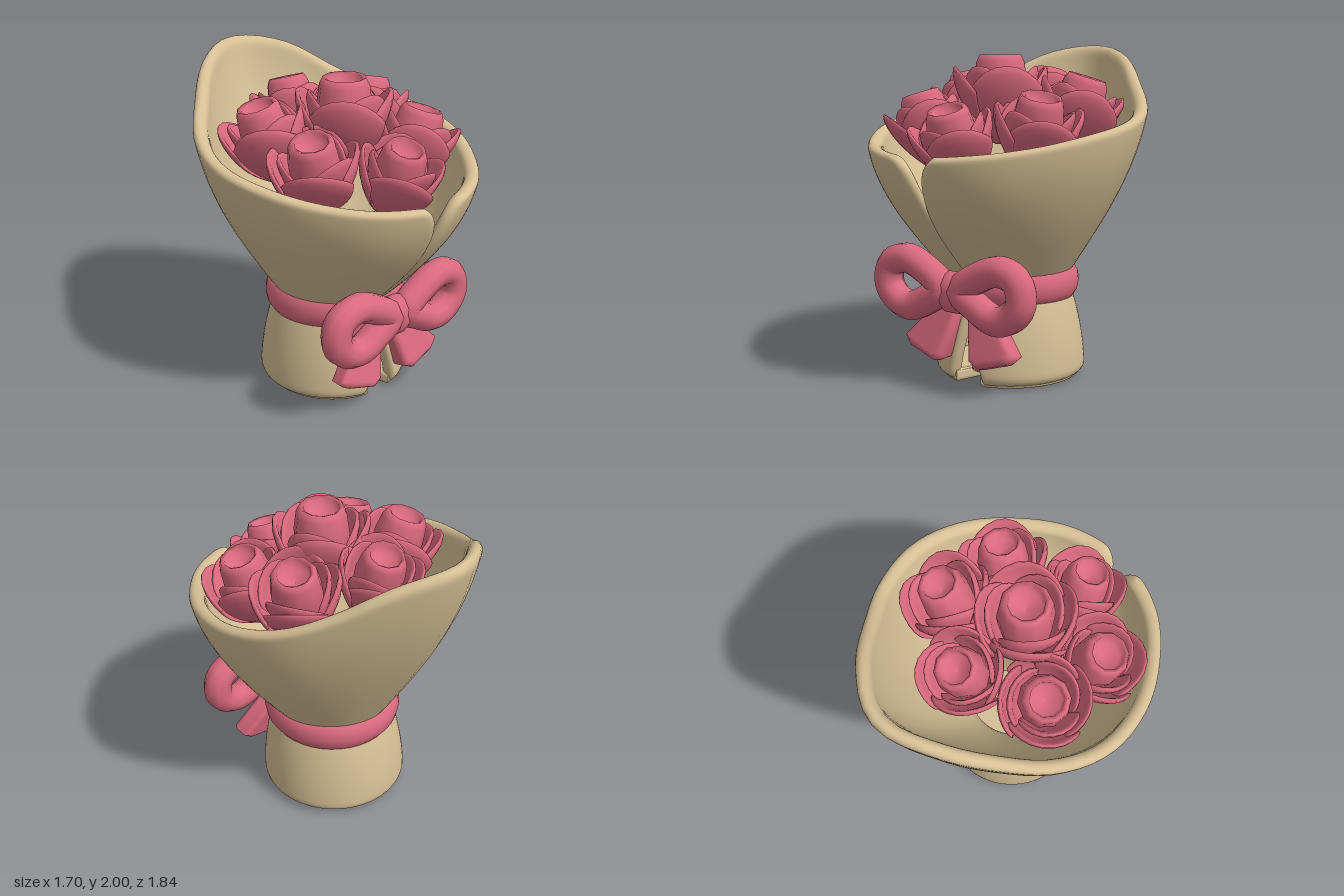
import * as THREE from 'three';
import { mergeVertices } from 'three/addons/utils/BufferGeometryUtils.js';

const paper = new THREE.MeshStandardMaterial({ color: 0xd6bf95 });
paper.name = 'tanPaper';
const pink = new THREE.MeshStandardMaterial({ color: 0xdb6a7f });
pink.name = 'rosePink';

function add(parent, name, geometry, material) {
  const mesh = new THREE.Mesh(geometry, material);
  mesh.name = name;
  parent.add(mesh);
  return mesh;
}

// Puffed sheet with rounded edges; fn(u, v) gives { r, a, y, cz } of its middle surface.
function sheet(fn, nu, nv, half, edgeU, edgeV) {
  const pos = [], index = [];
  const round = (t, w) => {
    const d = Math.min(Math.min(t, 1 - t) / w, 1);
    return Math.sqrt(Math.max(0, 1 - (1 - d) ** 2));
  };
  const ease = (k, n) => (1 - Math.cos((Math.PI * k) / n)) / 2;
  for (const side of [1, -1]) {
    const base = pos.length / 3;
    for (let j = 0; j <= nv; j++) {
      for (let i = 0; i <= nu; i++) {
        const u = ease(i, nu), v = ease(j, nv);
        const p = fn(u, v);
        const r = p.r + side * half * round(u, edgeU) * round(v, edgeV);
        pos.push(r * Math.sin(p.a), p.y, r * Math.cos(p.a) + p.cz);
        if (i < nu && j < nv) {
          const a = base + j * (nu + 1) + i, b = a + 1, c = b + nu + 1, d = a + nu + 1;
          if (side > 0) index.push(a, b, c, a, c, d);
          else index.push(a, c, b, a, d, c);
        }
      }
    }
  }
  let g = new THREE.BufferGeometry();
  g.setAttribute('position', new THREE.Float32BufferAttribute(pos, 3));
  g.setIndex(index);
  g = mergeVertices(g, 1e-5);
  g.computeVertexNormals();
  return g;
}

// Smooth front-to-back table, one value every 22.5 degrees, mirrored left and right.
function around(values) {
  const all = [values[1], ...values, values[values.length - 2]];
  const curve = new THREE.SplineCurve(all.map((y, i) => new THREE.Vector2(i, y)));
  return (a) => {
    const phi = Math.abs(a > Math.PI ? 2 * Math.PI - a : a);
    return curve.getPoint((phi / (Math.PI / 8) + 1) / (all.length - 1)).y;
  };
}

const rimRadius = around([0.93, 0.91, 0.865, 0.85, 0.84, 0.805, 0.785, 0.84, 0.915]);
const rimHeight = around([1.39, 1.41, 1.45, 1.51, 1.57, 1.65, 1.78, 1.94, 2.0]);

// Wrapper: flared skirt, narrow neck, then a bowl rising to the pointed back.
function wrapPoint(u, v) {
  const split = 0.3, neckY = 0.6;
  const low = Math.min(v / split, 1);
  const s = Math.max((v - split) / (1 - split), 0);
  const q = Math.max((s - 0.43) / 0.57, 0);
  const lowSlit = 0.28 * Math.max(1 - low / 0.75, 0);
  const slit = -0.02 + 0.09 * q ** 1.5 + 0.08 * q ** 9 + lowSlit;
  const a = slit + u * (2 * Math.PI - 2 * slit);
  if (v < split) {
    const r = 0.31 + 0.105 * Math.cos((low * Math.PI) / 2) ** 0.8;
    return { r, a, y: 0.02 + low * (neckY - 0.02), cz: 0.03 + 0.02 * low };
  }
  const f = 0.7 * Math.sin((s * Math.PI) / 2) + 0.3 * s;
  return {
    r: 0.31 + (rimRadius(a) - 0.03 - 0.31) * f,
    a,
    y: neckY + (rimHeight(a) - neckY) * s,
    cz: 0.05 * (1 - s),
  };
}

// Flower: dished bud inside two rings of cupped petals.
const budGeometry = new THREE.LatheGeometry(
  [[0, 0], [0.08, 0.04], [0.14, 0.2], [0.15, 0.33], [0.135, 0.44], [0.115, 0.48], [0.095, 0.47], [0.085, 0.41], [0, 0.39]]
    .map(([x, y]) => new THREE.Vector2(x, y)), 10);

function petalGeometry(radius, height, spread) {
  return sheet((u, v) => {
    const k = 2 * u - 1;
    return {
      r: radius * (0.12 + 0.88 * Math.sin((v * Math.PI) / 2) ** 0.85) + 0.018 * k * v,
      a: k * spread,
      y: height * v * (1 - 0.32 * k * k),
      cz: 0,
    };
  }, 12, 10, 0.016, 0.12, 0.12);
}
const outerPetal = petalGeometry(0.245, 0.42, 0.95);
const innerPetal = petalGeometry(0.19, 0.42, 1.1);

function makeFlower(x, y, z, tilt, scale) {
  const flower = new THREE.Group();
  flower.name = 'flower';
  add(flower, 'bud', budGeometry, pink);
  for (let i = 0; i < 4; i++) {
    add(flower, 'outerPetal', outerPetal, pink).rotation.y = Math.PI / 4 + (i * Math.PI) / 2;
  }
  for (let i = 0; i < 3; i++) {
    add(flower, 'innerPetal', innerPetal, pink).rotation.y = (i * Math.PI * 2) / 3;
  }
  // Lean away from the middle of the bunch; x, y, z is the tip of the bud.
  const out = new THREE.Vector3(x, 0, z - 0.13);
  if (out.length() > 0) out.normalize();
  const axis = new THREE.Vector3(0, Math.cos(tilt), 0).addScaledVector(out, Math.sin(tilt));
  flower.quaternion.setFromUnitVectors(new THREE.Vector3(0, 1, 0), axis);
  flower.position.set(x, y, z).addScaledVector(axis, -0.48 * scale);
  flower.scale.setScalar(scale);
  return flower;
}

function makeBow() {
  const bow = new THREE.Group();
  bow.name = 'bow';
  // Band round the neck
  const band = add(bow, 'band', new THREE.TorusGeometry(0.36, 0.07, 12, 40), pink);
  band.rotation.x = Math.PI / 2 - 0.03;
  band.scale.z = 1.55;
  band.position.set(0, 0.59, 0.05);
  // Knot
  const knot = add(bow, 'knot', new THREE.SphereGeometry(0.13, 10, 6), pink);
  knot.rotation.x = Math.PI / 2;
  knot.scale.set(0.95, 0.75, 1);
  knot.position.set(0, 0.585, 0.57);
  for (const side of [1, -1]) {
    // Loops
    const path = new THREE.CatmullRomCurve3(
      [[0.07, 0.6], [0.2, 0.7], [0.35, 0.75], [0.47, 0.7], [0.49, 0.58], [0.41, 0.49], [0.3, 0.47], [0.17, 0.53]]
        .map(([x, y]) => new THREE.Vector3(side * x, y, 0.59)), true);
    add(bow, 'loop', new THREE.TubeGeometry(path, 32, 0.09, 10, true), pink);
    // Tails
    const shape = new THREE.Shape([[0.04, 0], [0.15, -0.05], [0.36, -0.28], [0.33, -0.31], [0.17, -0.36], [0.13, -0.34]]
      .map(([x, y]) => new THREE.Vector2(side * x, y)));
    const g = new THREE.ExtrudeGeometry(shape, {
      depth: 0.06, bevelThickness: 0.035, bevelSize: 0.035, bevelSegments: 3,
    });
    g.deleteAttribute('uv');
    g.deleteAttribute('normal');
    const smooth = mergeVertices(g, 1e-4);
    smooth.computeVertexNormals();
    const tail = add(bow, 'tail', smooth, pink);
    tail.position.set(0, 0.52, 0.4);
    tail.rotation.x = -0.27;
  }
  return bow;
}

export function createModel() {
  const model = new THREE.Group();
  model.name = 'bouquet';

  add(model, 'wrapper', sheet(wrapPoint, 90, 48, 0.043, 0.012, 0.03), paper);

  // Notched floor of the wrapper
  const floor = new THREE.Shape();
  floor.absarc(0, 0, 0.4, -Math.PI / 2 + 0.27, 1.5 * Math.PI - 0.27, false);
  floor.lineTo(0, 0);
  const floorMesh = add(model, 'wrapperFloor', new THREE.ExtrudeGeometry(floor, {
    depth: 0.03, bevelThickness: 0.025, bevelSize: 0.025, bevelSegments: 3, curveSegments: 40,
  }), paper);
  floorMesh.rotation.x = -Math.PI / 2;
  floorMesh.position.set(0, 0.025, 0.03);

  // Gathered tip showing through the lower slit
  const tip = add(model, 'gatheredTip', new THREE.SphereGeometry(0.06, 10, 8), pink);
  tip.scale.y = 0.5;
  tip.position.set(0, 0.08, 0.32);

  const flowers = new THREE.Group();
  flowers.name = 'flowers';
  flowers.add(makeFlower(0, 1.94, 0.13, 0, 1.1));
  flowers.add(makeFlower(0, 1.64, 0.63, 0.35, 0.95));
  flowers.add(makeFlower(0, 1.84, -0.38, 0.3, 0.95));
  for (const side of [1, -1]) {
    flowers.add(makeFlower(side * 0.45, 1.71, 0.34, 0.3, 1));
    flowers.add(makeFlower(side * 0.45, 1.81, -0.12, 0.3, 1));
  }
  model.add(flowers);

  model.add(makeBow());
  return model;
}
